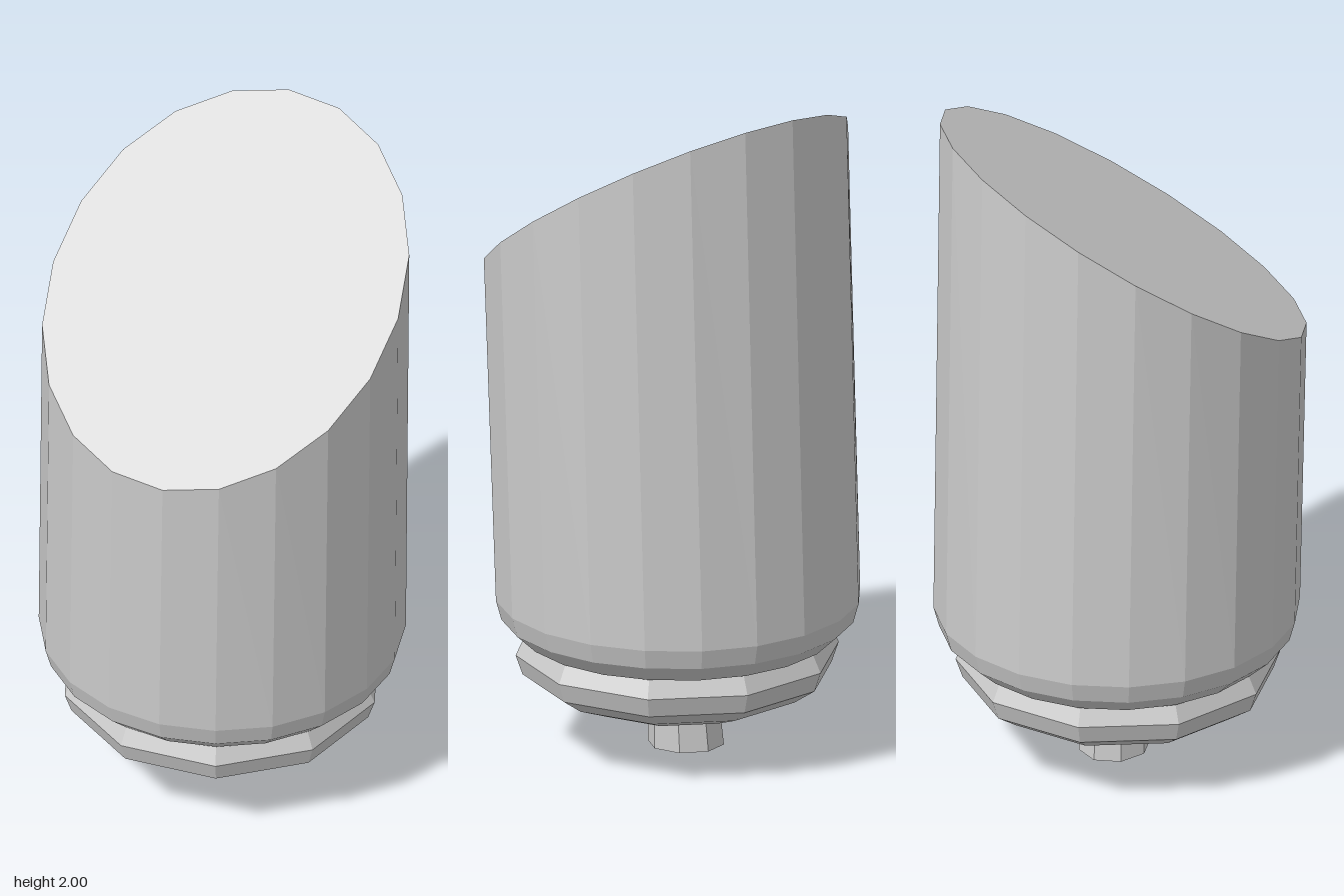
import * as THREE from 'three';

const grey = new THREE.MeshStandardMaterial({ color: 0xcccccc, flatShading: true });

// Faceted solid of revolution from [radius, height] pairs, bottom to top
function turned(name, profile, sides, start = 0) {
  const points = profile.map(([r, y]) => new THREE.Vector2(r, y));
  const mesh = new THREE.Mesh(new THREE.LatheGeometry(points, sides, start), grey);
  mesh.name = name;
  return mesh;
}

export function createModel() {
  const model = new THREE.Group();
  model.name = 'slantedCanister';

  // Body: rounded base, straight wall, flat top that gets cut at a slant
  const body = turned('body', [
    [0, 0.31], [0.36, 0.31], [0.45, 0.338], [0.508, 0.392], [0.524, 0.45],
    [0.524, 1.655], [0, 1.655],
  ], 20);
  const p = body.geometry.attributes.position;
  for (let i = 0; i < p.count; i++) {
    const x = p.getX(i), y = p.getY(i), z = p.getZ(i);
    if (y > 1) {
      p.setY(i, y + 0.44 * x - 0.495 * z); // slanted cut
      p.setZ(i, z + 0.035); // slight lean forward
    }
  }
  body.geometry.computeVertexNormals();
  body.position.z = -0.018;
  model.add(body);

  // Collar: shallow ten-sided bowl below the body
  const collar = turned('collar', [
    [0, 0.105], [0.13, 0.108], [0.27, 0.138], [0.38, 0.18], [0.445, 0.224],
    [0.465, 0.282], [0.435, 0.345], [0, 0.345],
  ], 10, Math.PI / 2);
  collar.position.set(-0.003, 0, -0.015);
  model.add(collar);

  // Stem: short peg, its back side flaring towards the foot
  const stem = new THREE.Mesh(new THREE.CylinderGeometry(0.094, 0.1, 0.13, 8), grey);
  stem.name = 'stem';
  const s = stem.geometry.attributes.position;
  for (let i = 0; i < s.count; i++) {
    s.setZ(i, s.getZ(i) * 1.1 + (s.getY(i) > 0 ? 0.007 : 0));
  }
  stem.geometry.computeVertexNormals();
  stem.position.set(-0.006, 0.065, -0.04);
  model.add(stem);

  return model;
}
